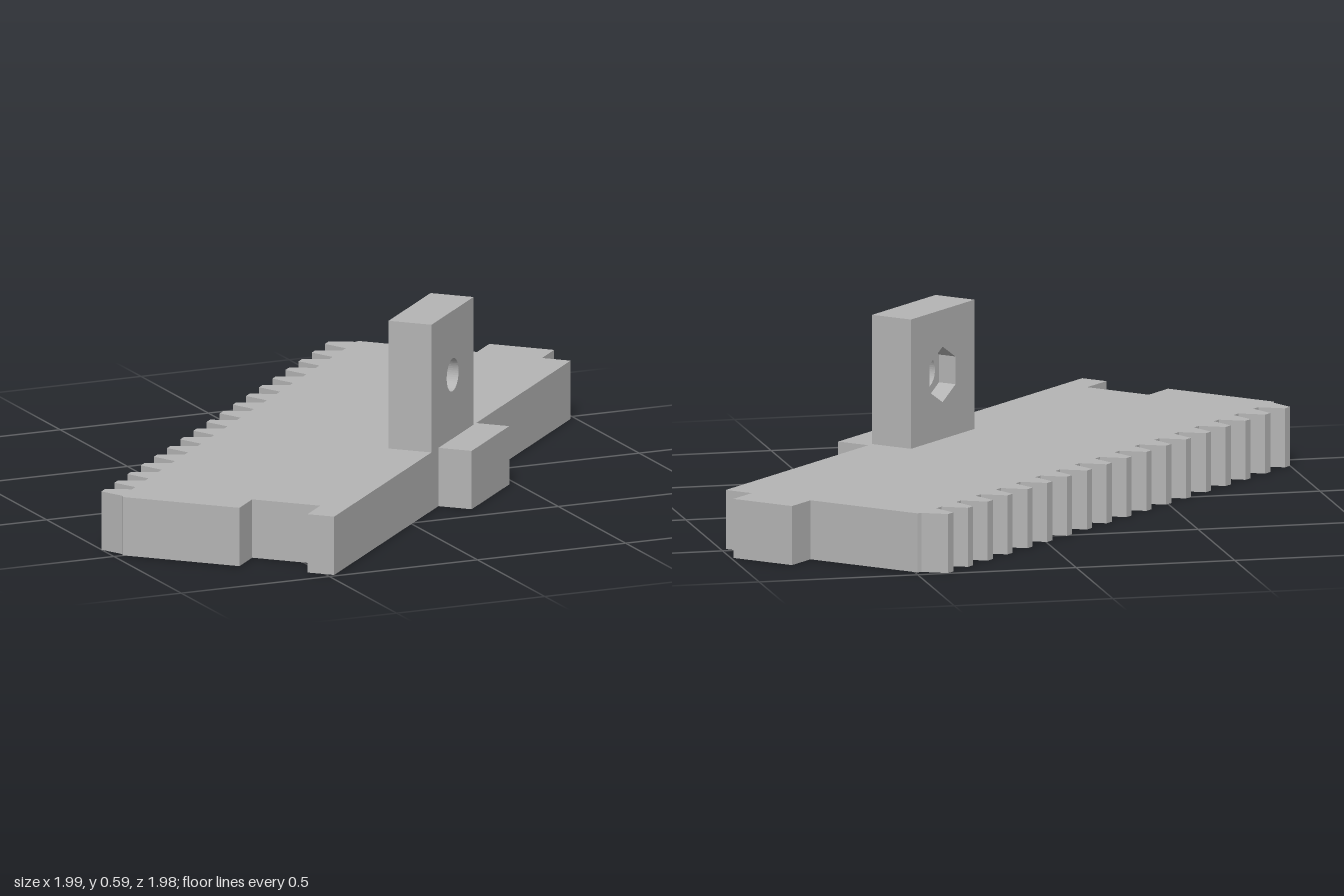
import * as THREE from 'three';

const BASE_H = 0.185, TOP = 0.59;
const grey = new THREE.MeshStandardMaterial({ color: 0xb4b4b4 });
grey.name = 'plain grey';

function extrude(shape, depth, name) {
  const geo = new THREE.ExtrudeGeometry(shape, { depth, bevelEnabled: false, curveSegments: 24 });
  const mesh = new THREE.Mesh(geo, grey);
  mesh.name = name;
  return mesh;
}

// Flat rack: plan outline with end tab, end notch, side lug and a row of teeth
function rackBase() {
  const pts = [
    [-1.038, -0.361], [-0.126, -0.361], [-0.126, -0.47], [0.203, -0.47], [0.203, -0.361],
    [1.03, -0.361], [1.03, -0.267], [1.137, -0.267], [1.137, -0.054], [1.03, -0.054], [1.03, 0.334],
  ];
  const teeth = 18, pitch = 0.115, first = 0.974, root = 0.34, tip = 0.419;
  for (let i = 0; i < teeth; i++) {
    const u = first - i * pitch;
    pts.push([u + 0.043, root], [u + 0.015, tip], [u - 0.015, tip], [u - 0.043, root]);
  }
  pts.push([-1.038, 0.334], [-1.038, -0.05], [-0.926, -0.05], [-0.926, -0.273], [-1.038, -0.273]);
  const mesh = extrude(new THREE.Shape(pts.map(([x, y]) => new THREE.Vector2(x, y))), BASE_H, 'toothedRack');
  mesh.rotation.x = -Math.PI / 2;
  return mesh;
}

// One slab of the upright bracket, pierced by the given hole
function bracketSlab(hole, z0, z1, name) {
  const s = new THREE.Shape();
  s.moveTo(-0.187, BASE_H).lineTo(0.181, BASE_H).lineTo(0.181, TOP).lineTo(-0.187, TOP).closePath();
  s.holes.push(hole);
  const mesh = extrude(s, z1 - z0, name);
  mesh.position.z = z0;
  return mesh;
}

export function createModel() {
  const model = new THREE.Group();
  model.name = 'gearRackWithBracket';
  model.add(rackBase());

  // Bracket: hexagonal nut pocket at the back, round bolt hole at the front
  const hx = -0.002, hy = 0.387;
  const hex = new THREE.Path();
  hex.setFromPoints(Array.from({ length: 6 }, (_, i) => {
    const a = Math.PI / 2 - i * Math.PI / 3;
    return new THREE.Vector2(hx + 0.087 * Math.cos(a), hy + 0.087 * Math.sin(a));
  }));
  hex.closePath();
  const round = new THREE.Path().absarc(hx, hy, 0.052, 0, Math.PI * 2, true);
  const bracket = new THREE.Group();
  bracket.name = 'bracket';
  bracket.add(bracketSlab(hex, 0.22, 0.28, 'nutPocketSlab'), bracketSlab(round, 0.28, 0.361, 'boltHoleSlab'));
  model.add(bracket);

  // The whole part lies diagonally
  const root = new THREE.Group();
  root.name = 'model';
  model.rotation.y = Math.PI / 4;
  root.add(model);
  return root;
}
